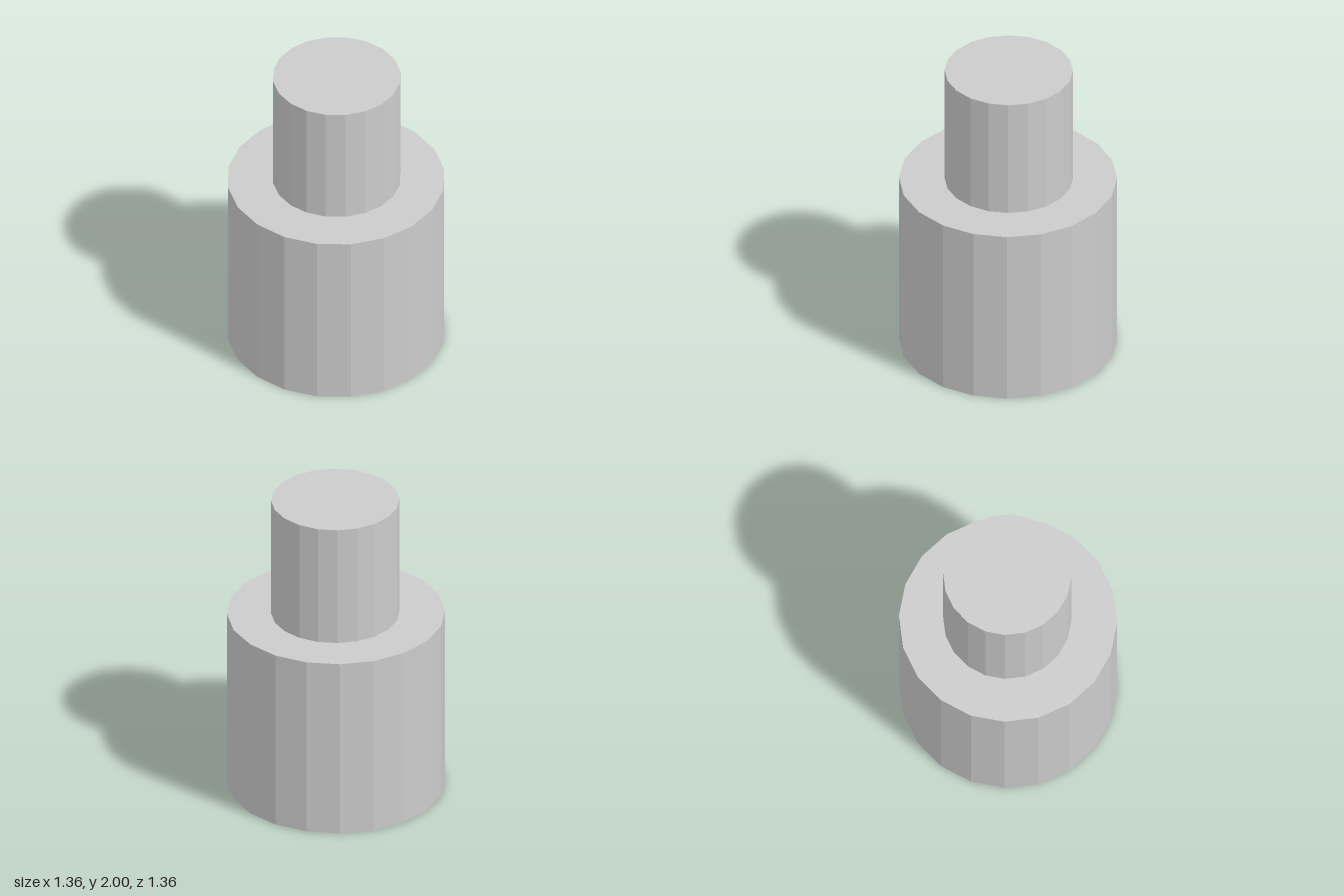
import * as THREE from 'three';

const SIDES = 20;
const BORE_TURN = THREE.MathUtils.degToRad(6);
const BODY_R = 0.68, BORE_R = 0.52, STUD_R = 0.4;

// Regular polygon corners, counter-clockwise
function ring(radius, turn = 0) {
  return Array.from({ length: SIDES }, (_, i) => {
    const a = turn + (i / SIDES) * Math.PI * 2;
    return new THREE.Vector2(radius * Math.cos(a), radius * Math.sin(a));
  });
}

export function createModel() {
  const group = new THREE.Group();
  const material = new THREE.MeshStandardMaterial({ color: 0xcccccc, flatShading: true });

  const add = (name, geometry) => {
    const mesh = new THREE.Mesh(geometry, material);
    mesh.name = name;
    group.add(mesh);
    return mesh;
  };
  const turned = (...profile) =>
    new THREE.LatheGeometry(profile.map(([r, y]) => new THREE.Vector2(r, y)), SIDES);

  // Wide body: outer wall and shoulder
  add('body', turned([BODY_R, 0], [BODY_R, 1.2], [0, 1.2]));

  // Narrow round stud on top
  add('stud', turned([STUD_R, 1.2], [STUD_R, 2], [0, 2])).position.x = 0.006;

  // Blind bore open at the bottom
  add('bore', turned([0, 1], [BORE_R, 1], [BORE_R, 0])).rotation.y = -BORE_TURN;

  // Flat rim around the bore, facing down
  const rim = new THREE.Shape(ring(BODY_R));
  rim.holes.push(new THREE.Path(ring(BORE_R, BORE_TURN)));
  add('bottomRim', new THREE.ShapeGeometry(rim).rotateX(Math.PI / 2));

  return group;
}
